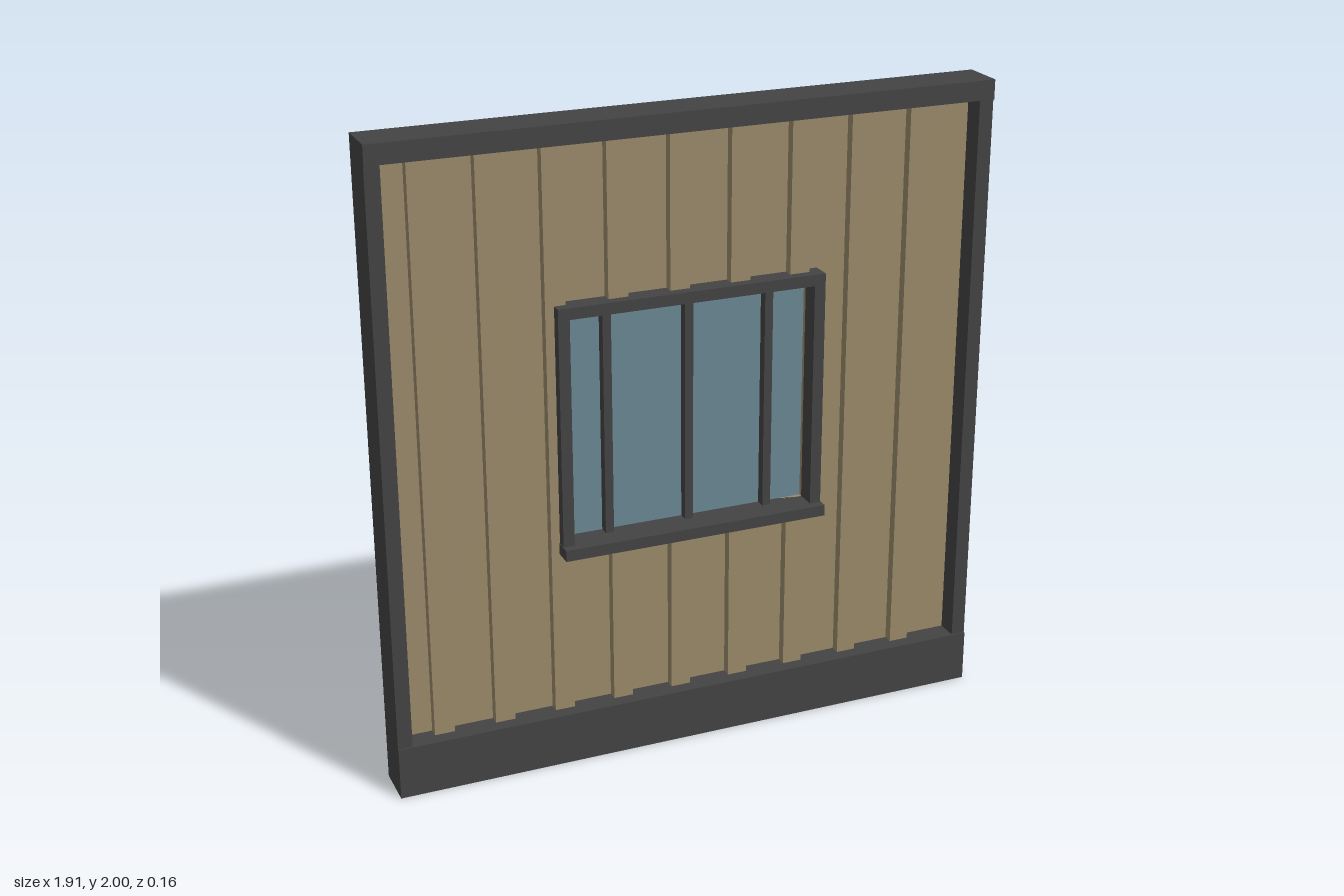
import * as THREE from 'three';

export function createModel() {
  const root = new THREE.Group();
  root.name = 'wallPanel';

  const mat = (name, color) => {
    const m = new THREE.MeshStandardMaterial({ color });
    m.name = name;
    return m;
  };
  const dark = mat('darkFrame', 0x434343);
  const tan = mat('tanCladding', 0x998969);
  const blue = mat('blueGlass', 0x6a8793);

  // Box given by its extents on each axis
  const box = (parent, name, material, [x0, x1], [y0, y1], [z0, z1]) => {
    const mesh = new THREE.Mesh(new THREE.BoxGeometry(x1 - x0, y1 - y0, z1 - z0), material);
    mesh.position.set((x0 + x1) / 2, (y0 + y1) / 2, (z0 + z1) / 2);
    mesh.name = name;
    parent.add(mesh);
  };
  const group = (name) => {
    const g = new THREE.Group();
    g.name = name;
    root.add(g);
    return g;
  };

  const HW = 0.955, BACK = -0.078;      // half width, rear plane
  const IN = 0.91, Y0 = 0.165, Y1 = 1.94; // opening of the outer frame
  const WX = 0.385, W0 = 0.725, W1 = 1.43, T = 0.035; // window opening and frame width

  // Outer frame
  const frame = group('outerFrame');
  box(frame, 'bottomRail', dark, [-HW, HW], [0, Y0], [BACK, 0.061]);
  box(frame, 'topRail', dark, [-HW, HW], [Y1, 2], [BACK, 0.061]);
  for (const s of [-1, 1]) {
    const xs = [s * IN, s * HW].sort((a, b) => a - b);
    box(frame, s < 0 ? 'rightPost' : 'leftPost', dark, xs, [Y0, Y1], [BACK, 0.056]);
  }

  // Backing sheet with the window opening
  const cladding = group('cladding');
  const rect = (Type, x0, x1, y0, y1) => new Type([
    new THREE.Vector2(x0, y0), new THREE.Vector2(x1, y0),
    new THREE.Vector2(x1, y1), new THREE.Vector2(x0, y1),
  ]);
  const sheet = rect(THREE.Shape, -IN, IN, Y0, Y1);
  sheet.holes.push(rect(THREE.Path, -WX, WX, W0, W1));
  const sheetMesh = new THREE.Mesh(
    new THREE.ExtrudeGeometry(sheet, { depth: 0.057, bevelEnabled: false }), tan);
  sheetMesh.position.z = -0.069;
  sheetMesh.name = 'backingSheet';
  cladding.add(sheetMesh);

  // Vertical ribs, interrupted by the window
  for (let i = 0; i < 9; i++) {
    const x = -0.83 + i * 0.1915;
    const crossesWindow = Math.abs(x + 0.031) < 0.4;
    const spans = crossesWindow ? [[Y0, W0 - 0.01], [W1 + 0.01, Y1]] : [[Y0, Y1]];
    for (const span of spans) box(cladding, 'rib', tan, [x, x + 0.062], span, [-0.012, 0.018]);
  }

  // Window frame, projecting sill, mullions and glass
  const win = group('window');
  const depth = [-0.075, 0.05];
  box(win, 'windowHead', dark, [-WX - T, WX + T], [W1, W1 + T], depth);
  box(win, 'windowSill', dark, [-WX - T - 0.002, WX + T + 0.002], [W0 - T, W0], [-0.075, 0.078]);
  box(win, 'rightJamb', dark, [-WX - T, -WX], [W0, W1], depth);
  box(win, 'leftJamb', dark, [WX, WX + T], [W0, W1], depth);
  for (const x of [-0.257, 0, 0.257]) {
    box(win, 'mullion', dark, [x - 0.013, x + 0.013], [W0, W1], [-0.026, 0.006]);
  }
  box(win, 'glass', blue, [-WX, WX], [W0, W1], [-0.04, -0.025]);

  return root;
}
